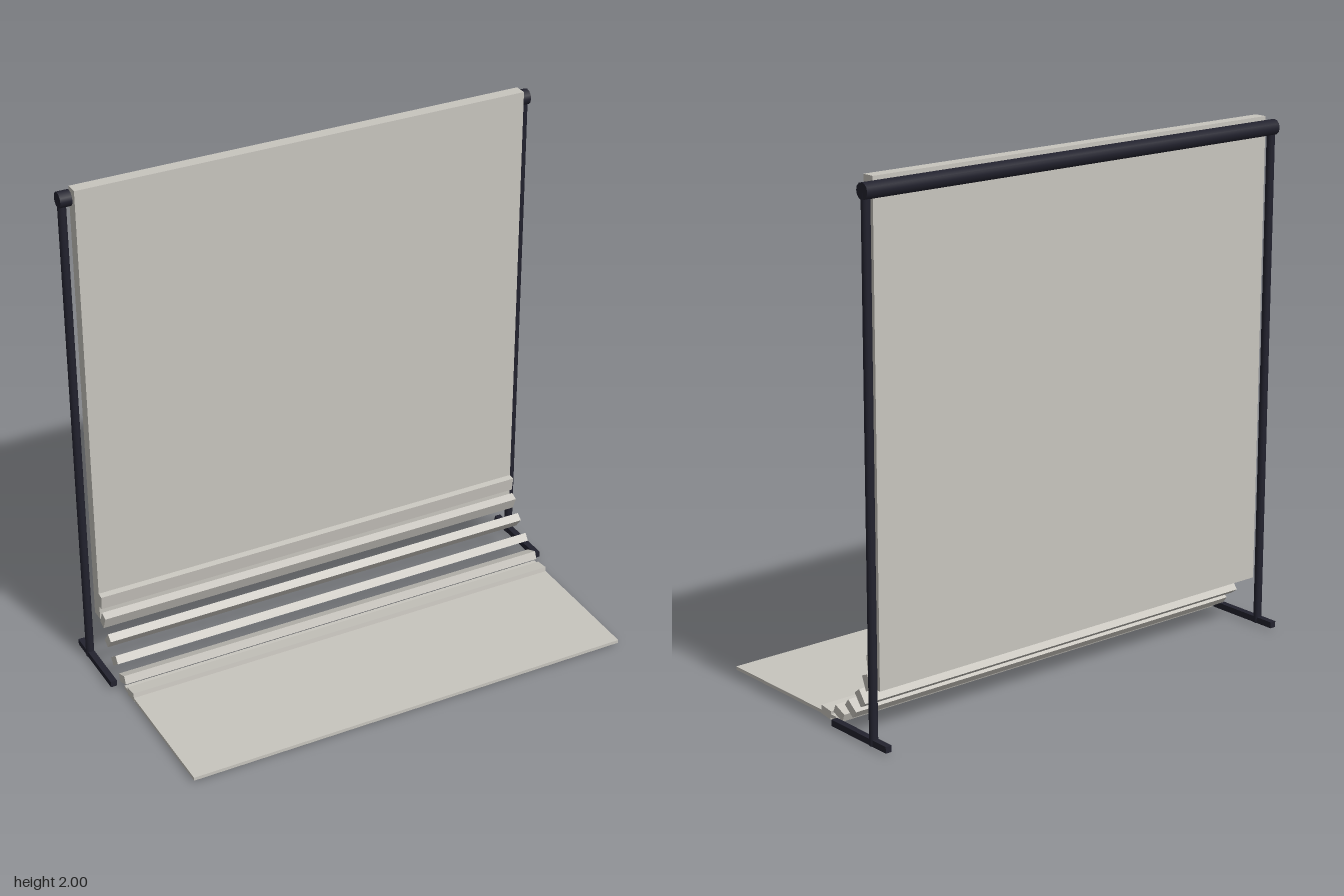
import * as THREE from 'three';

export function createModel() {
  const model = new THREE.Group();
  model.name = 'backdropStand';

  const fabric = new THREE.MeshStandardMaterial({ color: 0xc8c5be });
  fabric.name = 'warm grey backdrop';
  const metal = new THREE.MeshStandardMaterial({ color: 0x22222e });
  metal.name = 'dark frame';

  const add = (name, geometry, material, x, y, z) => {
    const mesh = new THREE.Mesh(geometry, material);
    mesh.name = name;
    mesh.position.set(x, y, z);
    model.add(mesh);
    return mesh;
  };

  const width = 1.81;

  // Hanging backdrop and floor sweep
  add('backPanel', new THREE.BoxGeometry(width, 1.8, 0.05), fabric, 0, 1.1, -0.375);
  add('floorPanel', new THREE.BoxGeometry(width, 0.013, 0.625), fabric, 0, 0.0165, 0.1725);

  // Separate slats along the quarter curve, each tipped towards the front
  const slats = 6, radius = 0.307;
  for (let i = 0; i < slats; i++) {
    const t = ((i + 0.5) / slats) * Math.PI / 2;
    const slat = add('curveSlat', new THREE.BoxGeometry(width, 0.033, 0.057), fabric,
      0, 0.326 - radius * Math.cos(t), -0.04 - radius * Math.sin(t));
    slat.rotation.x = -t;
  }

  // Top roller
  const roller = add('crossbar', new THREE.CylinderGeometry(0.03, 0.03, 1.9, 12), metal, 0, 1.955, -0.4);
  roller.rotation.z = Math.PI / 2;

  // Posts and feet on both sides
  for (const [side, s] of [['left', 1], ['right', -1]]) {
    add(side + 'Post', new THREE.CylinderGeometry(0.016, 0.016, 1.94, 12), metal, s * 0.935, 0.98, -0.4);
    add(side + 'Foot', new THREE.BoxGeometry(0.025, 0.024, 0.315), metal, s * 0.935, 0.022, -0.3275);
  }

  return model;
}
